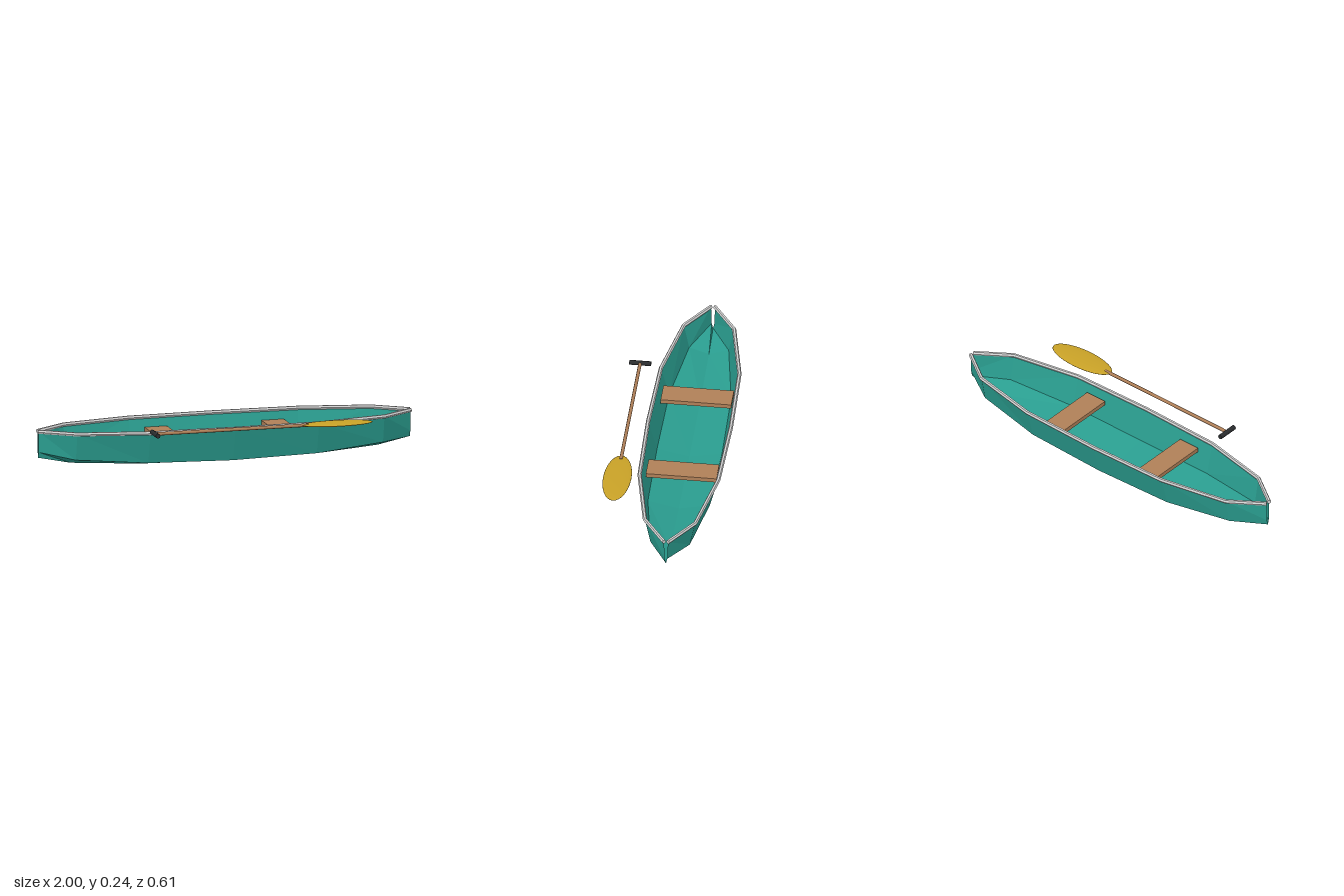
import * as THREE from 'three';

const mat = (name, color, opts = {}) => {
  const m = new THREE.MeshStandardMaterial({ color, ...opts });
  m.name = name;
  return m;
};

// Flat-shaded skin through cross-sections that follow each other along +x.
function loft(rings, capped = false) {
  const pos = [];
  const tri = (a, b, c) => pos.push(...a, ...b, ...c);
  for (let i = 0; i < rings.length - 1; i++) {
    const r = rings[i], s = rings[i + 1];
    for (let j = 0; j < r.length - 1; j++) {
      tri(r[j], r[j + 1], s[j + 1]);
      tri(r[j], s[j + 1], s[j]);
    }
  }
  if (capped) {
    const a = rings[0], b = rings[rings.length - 1];
    for (let j = 1; j < a.length - 2; j++) {
      tri(a[0], a[j + 1], a[j]);
      tri(b[0], b[j], b[j + 1]);
    }
  }
  const g = new THREE.BufferGeometry();
  g.setAttribute('position', new THREE.Float32BufferAttribute(pos, 3));
  g.computeVertexNormals();
  return g;
}

export function createModel() {
  const model = new THREE.Group();
  model.name = 'canoeWithPaddle';
  const teal = mat('tealHull', 0x2a9d8f, { side: THREE.DoubleSide });
  const grey = mat('lightGreyTrim', 0xd0d0d0);
  const wood = mat('wood', 0xb08058);
  const yellow = mat('yellowBlade', 0xc9a227);
  const black = mat('blackGrip', 0x2b2d2f);

  const add = (parent, name, geometry, material, x = 0, y = 0, z = 0) => {
    const m = new THREE.Mesh(geometry, material);
    m.name = name;
    m.position.set(x, y, z);
    parent.add(m);
    return m;
  };

  const canoe = new THREE.Group();
  canoe.name = 'canoe';
  canoe.position.z = -0.08;
  model.add(canoe);

  // Half stations: x, gunwale half-width, chine half-width, chine y, keel y
  const half = [
    [0, 0.214, 0.168, 0.036, 0.002],
    [0.45, 0.203, 0.16, 0.045, 0.01],
    [0.82, 0.13, 0.102, 0.07, 0.036],
    [0.993, 0.01, 0.007, 0.102, 0.072],
  ];
  const stations = [
    ...half.slice(1).reverse().map(([x, ...rest]) => [-x, ...rest]),
    ...half,
  ];
  const top = 0.21;

  // Open shell: two side panels and two bottom panels
  add(canoe, 'hull', loft(stations.map(([x, w, c, cy, ky]) => [
    [x, top, w], [x, cy, c], [x, ky, 0], [x, cy, -c], [x, top, -w],
  ])), teal);

  // Six-sided gunwale rails, mitred at every station
  for (const side of [1, -1]) {
    const path = stations.map(([x, w]) => new THREE.Vector2(x, w * side));
    const rings = path.map((p, i) => {
      const into = p.clone().sub(path[Math.max(i - 1, 0)]).normalize();
      const out = path[Math.min(i + 1, path.length - 1)].clone().sub(p).normalize();
      const t = into.add(out).normalize();
      return Array.from({ length: 7 }, (_, k) => {
        const a = k * Math.PI / 3, r = 0.011 * Math.cos(a);
        return [p.x - t.y * r, top - 0.011 * Math.sin(a), p.y + t.x * r];
      });
    });
    add(canoe, side > 0 ? 'frontRail' : 'backRail', loft(rings, true), grey);
  }

  // Two plank seats
  for (const side of [-1, 1]) {
    add(canoe, side > 0 ? 'leftSeat' : 'rightSeat',
      new THREE.BoxGeometry(0.12, 0.023, 0.365), wood, side * 0.312, 0.148, -0.002);
  }

  // Paddle lying beside the canoe
  const paddle = new THREE.Group();
  paddle.name = 'paddle';
  paddle.position.set(0, 0.228, 0.231);
  model.add(paddle);
  add(paddle, 'shaft', new THREE.CylinderGeometry(0.009, 0.009, 0.815, 8), wood, -0.048)
    .rotation.z = Math.PI / 2;
  add(paddle, 'blade', new THREE.SphereGeometry(1, 32, 16), yellow, 0.515)
    .scale.set(0.19, 0.008, 0.073);
  add(paddle, 'grip', new THREE.CylinderGeometry(0.0125, 0.0125, 0.112, 8), black, -0.457)
    .rotation.x = Math.PI / 2;

  return model;
}
